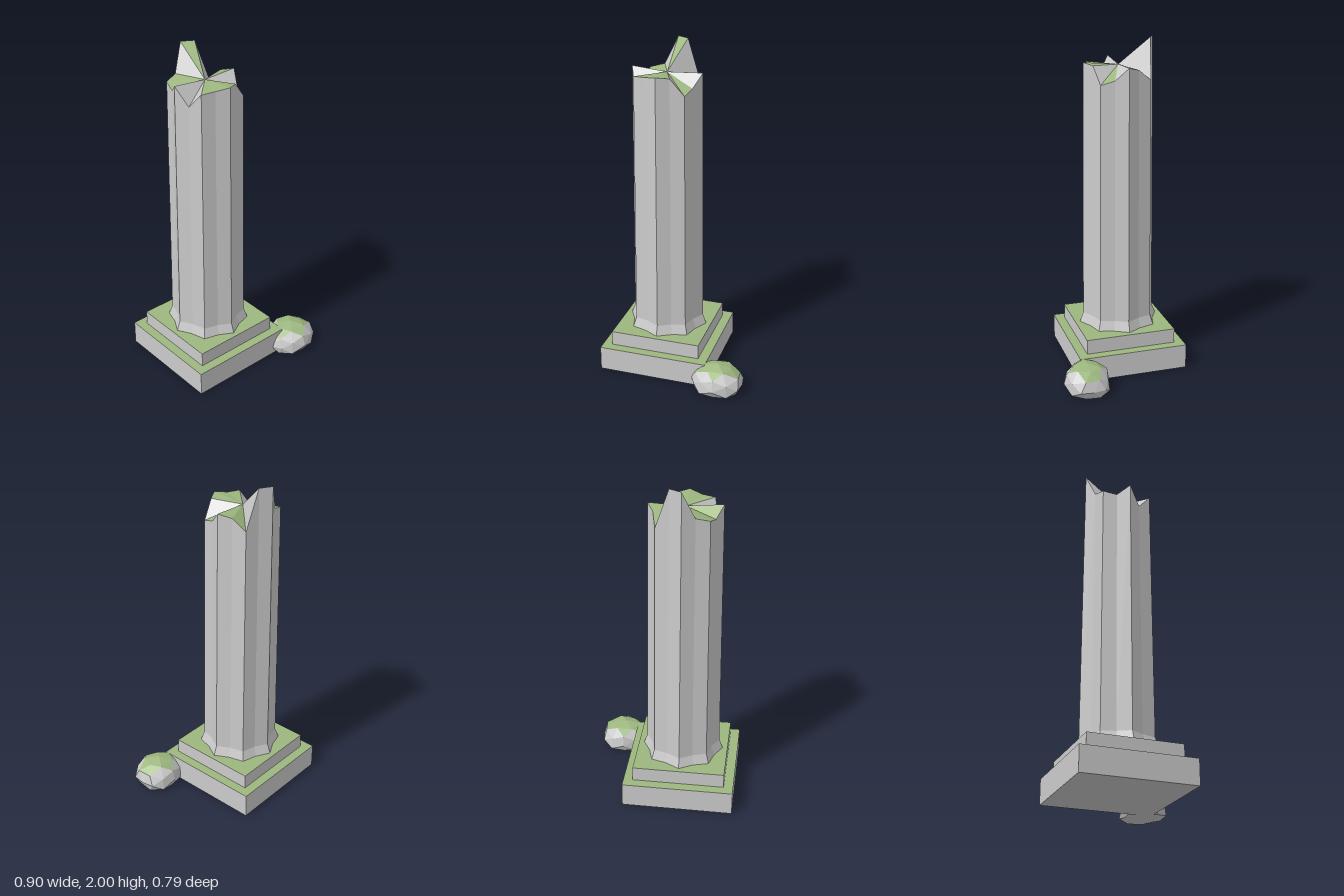
import * as THREE from 'three';

const grey = new THREE.MeshStandardMaterial({ color: 0xcccccc, flatShading: true });
const moss = new THREE.MeshStandardMaterial({ color: 0x9db77f, flatShading: true });

function meshFrom(name, points, material) {
  const geometry = new THREE.BufferGeometry().setFromPoints(points);
  geometry.computeVertexNormals();
  const mesh = new THREE.Mesh(geometry, material);
  mesh.name = name;
  return mesh;
}

// Square slab with a mossy top face
function slab(name, size, bottom, top) {
  const mesh = new THREE.Mesh(
    new THREE.BoxGeometry(size, top - bottom, size),
    [grey, grey, moss, grey, grey, grey]
  );
  mesh.position.y = (bottom + top) / 2;
  mesh.name = name;
  return mesh;
}

// Fluted shaft with a jagged broken top; points run from the back towards +x
function brokenShaft() {
  const group = new THREE.Group();
  group.name = 'brokenShaft';
  const breakHeights = [2, 2, 1.765, 1.83, 1.85, 1.775, 1.75, 1.85,
    1.86, 1.845, 1.84, 1.75, 1.86, 1.8, 1.82, 1.84];
  const bareSectors = [1, 4, 6, 10, 11, 15];
  const n = breakHeights.length;

  const at = (k, radius, y) => {
    const a = (k * Math.PI * 2) / n;
    const r = k % 2 ? radius * 0.88 : radius;
    return new THREE.Vector3(r * Math.sin(a), y, -r * Math.cos(a));
  };
  const rings = [
    (k) => at(k, 0.247, 0.24),
    (k) => at(k, 0.225, 0.3),
    (k) => at(k, 0.225 - 0.0085 * (breakHeights[k] - 0.3), breakHeights[k]),
  ];
  const apex = new THREE.Vector3(0, 1.84, 0);
  const sides = [], bareTop = [], mossTop = [];
  for (let k = 0; k < n; k++) {
    const next = (k + 1) % n;
    for (let i = 0; i < 2; i++) {
      const a = rings[i](next), b = rings[i](k);
      const c = rings[i + 1](k), d = rings[i + 1](next);
      sides.push(a, b, c, a, c, d);
    }
    (bareSectors.includes(k) ? bareTop : mossTop).push(apex, rings[2](next), rings[2](k));
  }
  group.add(
    meshFrom('shaftSides', sides, grey),
    meshFrom('bareBreak', bareTop, grey),
    meshFrom('mossyBreak', mossTop, moss)
  );
  return group;
}

// Faceted boulder, flattened underneath, moss on its upward faces
function boulder() {
  const group = new THREE.Group();
  group.name = 'boulder';
  const p = new THREE.IcosahedronGeometry(1, 1).attributes.position;
  const bare = [], mossy = [];
  for (let i = 0; i < p.count; i += 3) {
    const tri = [0, 1, 2].map((j) => {
      const v = new THREE.Vector3().fromBufferAttribute(p, i + j);
      const bump = 1 + 0.05 * Math.sin(v.x * 5 + v.y * 3 + v.z * 7);
      v.multiplyScalar(bump).multiply(new THREE.Vector3(0.161, 0.118, 0.137));
      v.y = Math.max(0, v.y + 0.05);
      return v;
    });
    const normal = new THREE.Triangle(...tri).getNormal(new THREE.Vector3());
    (normal.y > 0.74 ? mossy : bare).push(...tri);
  }
  group.add(meshFrom('boulderStone', bare, grey), meshFrom('boulderMoss', mossy, moss));
  group.position.set(0.295, 0, 0.258);
  return group;
}

export function createModel() {
  const model = new THREE.Group();
  model.name = 'ruinedColumn';
  const column = new THREE.Group();
  column.name = 'column';
  column.add(
    slab('baseSlab', 0.67, 0, 0.15),
    slab('upperSlab', 0.555, 0.15, 0.24),
    brokenShaft()
  );
  column.position.set(-0.12, 0, -0.06);
  model.add(column, boulder());
  return model;
}
